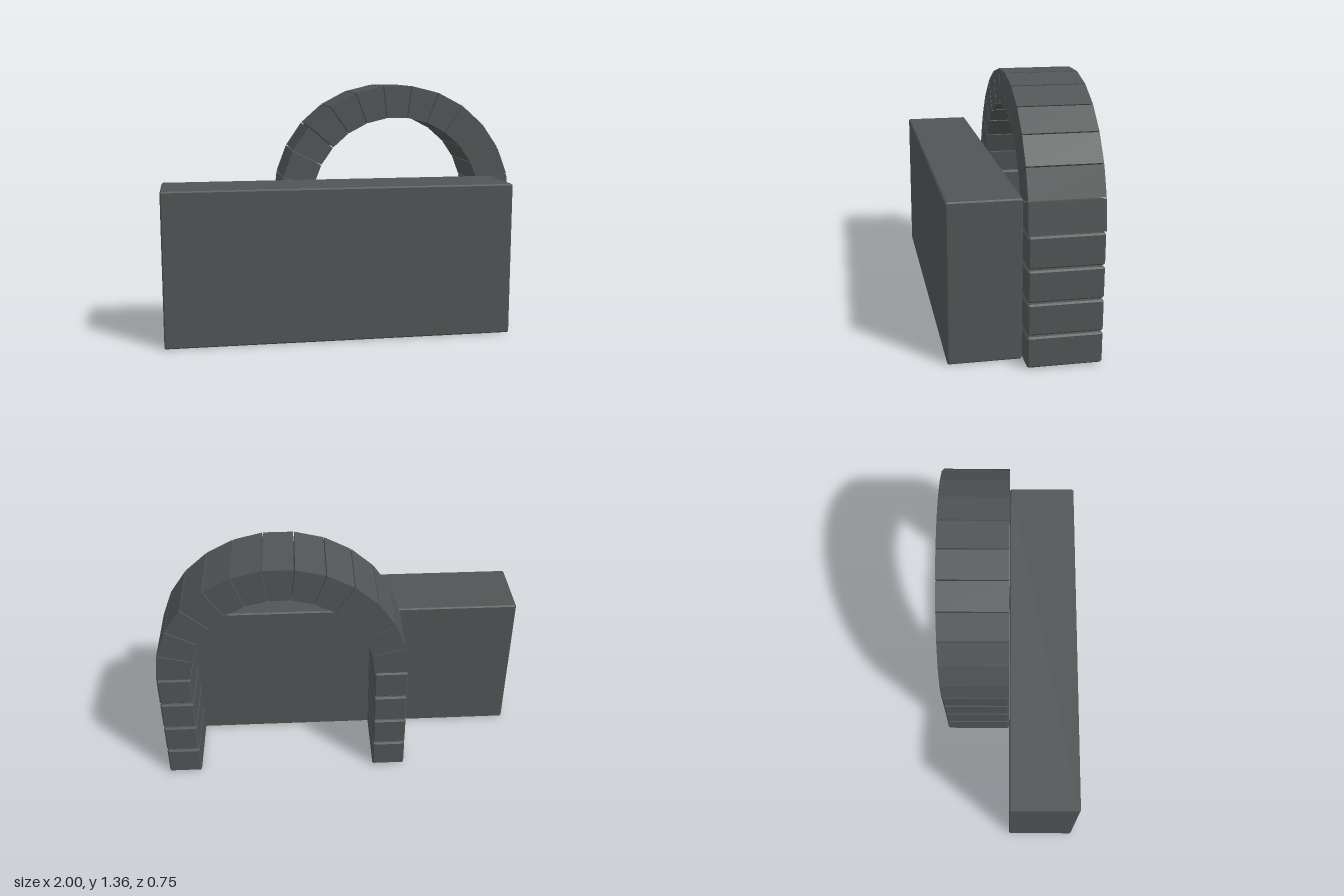
import * as THREE from 'three';
import { ConvexGeometry } from 'three/addons/geometries/ConvexGeometry.js';

const stone = new THREE.MeshStandardMaterial({ color: 0x505454, flatShading: true });
stone.name = 'dark grey stone';

// Box with all edges cut at 45 degrees
function chamferedBox(w, h, d, c) {
  const points = [];
  const half = [w / 2, h / 2, d / 2];
  for (const sx of [-1, 1]) for (const sy of [-1, 1]) for (const sz of [-1, 1]) {
    for (let axis = 0; axis < 3; axis++) {
      const p = [sx, sy, sz].map((s, i) => s * (half[i] - (i === axis ? 0 : c)));
      points.push(new THREE.Vector3(...p));
    }
  }
  return new ConvexGeometry(points);
}

function addMesh(parent, geometry, name, x, y, z) {
  const mesh = new THREE.Mesh(geometry, stone);
  mesh.name = name;
  mesh.position.set(x, y, z);
  parent.add(mesh);
}

export function createModel() {
  const model = new THREE.Group();
  model.name = 'archAndWall';

  // Solid wall slab in front
  addMesh(model, chamferedBox(1.886, 0.835, 0.373, 0.007), 'wall', -0.057, 0.4175, 0.1885);

  // Stone arch standing behind the wall
  const arch = new THREE.Group();
  arch.name = 'arch';
  arch.position.set(0.325, 0, -0.1885);
  model.add(arch);
  const depth = 0.377, outer = 0.675, inner = 0.494, spring = 0.685;

  // Two piers of four stacked blocks
  const block = chamferedBox(outer - inner, 0.161, depth, 0.008);
  for (const side of [-1, 1]) {
    for (let i = 0; i < 4; i++) {
      const name = (side > 0 ? 'left' : 'right') + 'PierBlock';
      addMesh(arch, block, name, side * (outer + inner) / 2, 0.0865 + i * 0.1705, 0);
    }
  }

  // Half ring of thirteen wedge stones with thin open joints
  const count = 13, step = Math.PI / count, joint = 0.003;
  const halfAngle = step / 2;
  const corner = (r, s) => new THREE.Vector2(
    s * (r * Math.sin(halfAngle) - joint * Math.cos(halfAngle)),
    r * Math.cos(halfAngle) + joint * Math.sin(halfAngle));
  const wedgeShape = new THREE.Shape([
    corner(inner, -1), corner(inner, 1), corner(outer, 1), corner(outer, -1),
  ]);
  const wedge = new THREE.ExtrudeGeometry(wedgeShape, { depth, bevelEnabled: false });
  wedge.translate(0, 0, -depth / 2);
  for (let i = 0; i < count; i++) {
    addMesh(arch, wedge, 'archStone', 0, spring, 0);
    arch.children[arch.children.length - 1].rotation.z = (i - (count - 1) / 2) * step;
  }

  return model;
}
